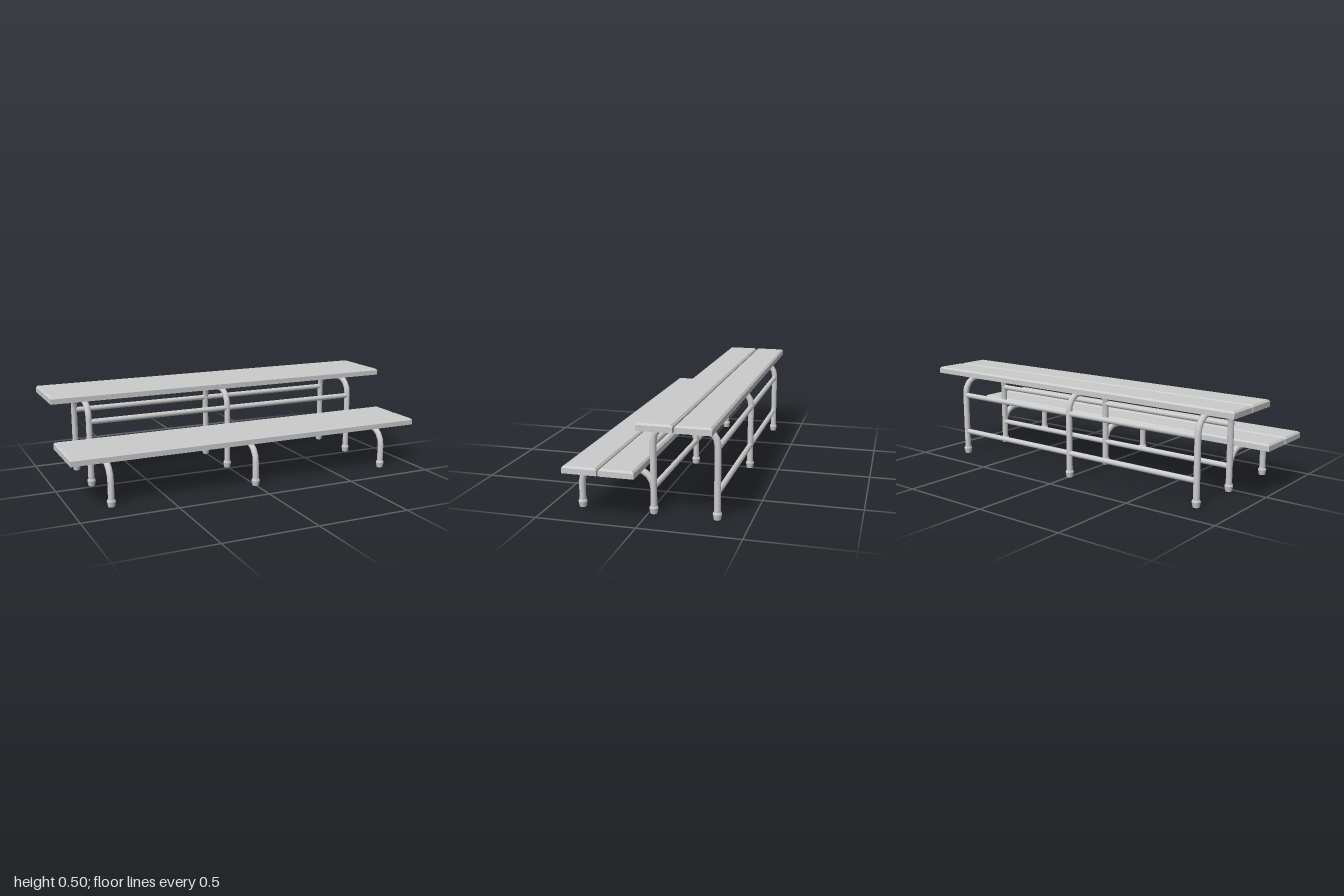
import * as THREE from 'three';

const material = new THREE.MeshStandardMaterial({ color: 0xcccccc });
const TUBE_R = 0.0165;
const FRONT_Z = 0.34, MID_Z = -0.025, BACK_Z = -0.338;

// Path through given points, mitred at each one
class PolyPath extends THREE.Curve {
  constructor(points) { super(); this.points = points; }
  getPoint(t, target = new THREE.Vector3()) {
    const n = this.points.length - 1;
    const i = Math.min(Math.floor(t * n + 1e-6), n - 1);
    return target.lerpVectors(this.points[i], this.points[i + 1], t * n - i);
  }
  getPointAt(t, target) { return this.getPoint(t, target); }
  getTangentAt(t, target = new THREE.Vector3()) {
    const p = this.points, n = p.length - 1, i = Math.round(t * n);
    const dir = (a, b) => p[b].clone().sub(p[a]).normalize();
    target.set(0, 0, 0);
    if (i > 0) target.add(dir(i - 1, i));
    if (i < n) target.add(dir(i, i + 1));
    return target.normalize();
  }
}

function add(parent, name, geometry, x = 0, y = 0, z = 0) {
  const mesh = new THREE.Mesh(geometry, material);
  mesh.name = name;
  mesh.position.set(x, y, z);
  parent.add(mesh);
  return mesh;
}

// Arched leg pipe in the z-y plane: up, rounded over, and down again
function archGeometry(zA, zB, top, endY) {
  const r = 0.087, steps = 4, pts = [new THREE.Vector3(0, 0.02, zA)];
  for (let i = 0; i <= steps; i++) {
    const a = (i / steps) * Math.PI / 2;
    pts.push(new THREE.Vector3(0, top - r + r * Math.sin(a), zA - r + r * Math.cos(a)));
  }
  for (let i = steps; i >= 0; i--) {
    const a = (i / steps) * Math.PI / 2;
    pts.push(new THREE.Vector3(0, top - r + r * Math.sin(a), zB + r - r * Math.cos(a)));
  }
  if (endY < top - r) pts.push(new THREE.Vector3(0, endY, zB));
  return new THREE.TubeGeometry(new PolyPath(pts), pts.length - 1, TUBE_R, 16, false);
}

// Plank with its top edges chamfered all round
function plankGeometry(length, height, width) {
  const c = 0.009;
  const g = new THREE.BoxGeometry(length, height, width, 1, 2, 1);
  const p = g.attributes.position;
  for (let i = 0; i < p.count; i++) {
    const y = p.getY(i);
    if (Math.abs(y) < 1e-6) p.setY(i, height / 2 - c);
    else if (y > 0) {
      p.setX(i, p.getX(i) - Math.sign(p.getX(i)) * c);
      p.setZ(i, p.getZ(i) - Math.sign(p.getZ(i)) * c);
    }
  }
  const flat = g.toNonIndexed();
  flat.computeVertexNormals();
  return flat;
}

export function createModel() {
  const model = new THREE.Group();
  model.name = 'tieredBench';

  // Two planks per tier
  const plank = plankGeometry(2, 0.036, 0.172);
  for (const [name, y, zs] of [
    ['lowerPlank', 0.252, [0.272, 0.092]],
    ['upperPlank', 0.483, [-0.092, -0.272]],
  ]) for (const z of zs) add(model, name, plank, 0, y, z);

  // Three leg frames, each with a low and a high arch and rubber feet
  const lowArch = archGeometry(FRONT_Z, MID_Z, 0.216, 0.15);
  const highArch = archGeometry(MID_Z, BACK_Z, 0.448, 0.02);
  const foot = new THREE.LatheGeometry([
    [0, 0], [0.0175, 0], [0.0175, 0], [0.0228, 0.028], [0.0228, 0.028], [0.019, 0.037], [0.019, 0.037], [0.012, 0.037],
  ].map(([x, y]) => new THREE.Vector2(x, y)), 16);
  for (const x of [-0.8, 0, 0.8]) {
    const frame = new THREE.Group();
    frame.name = 'legFrame';
    frame.position.x = x;
    add(frame, 'lowArch', lowArch);
    add(frame, 'highArch', highArch);
    for (const z of [FRONT_Z, MID_Z, BACK_Z]) add(frame, 'foot', foot, 0, 0, z);
    model.add(frame);
  }

  // Long rails tying the frames together
  const rail = new THREE.CylinderGeometry(0.0145, 0.0145, 1.6, 16, 1, true).rotateZ(Math.PI / 2);
  for (const z of [MID_Z, BACK_Z])
    for (const y of [0.132, 0.35]) add(model, 'rail', rail, 0, y, z);

  return model;
}
